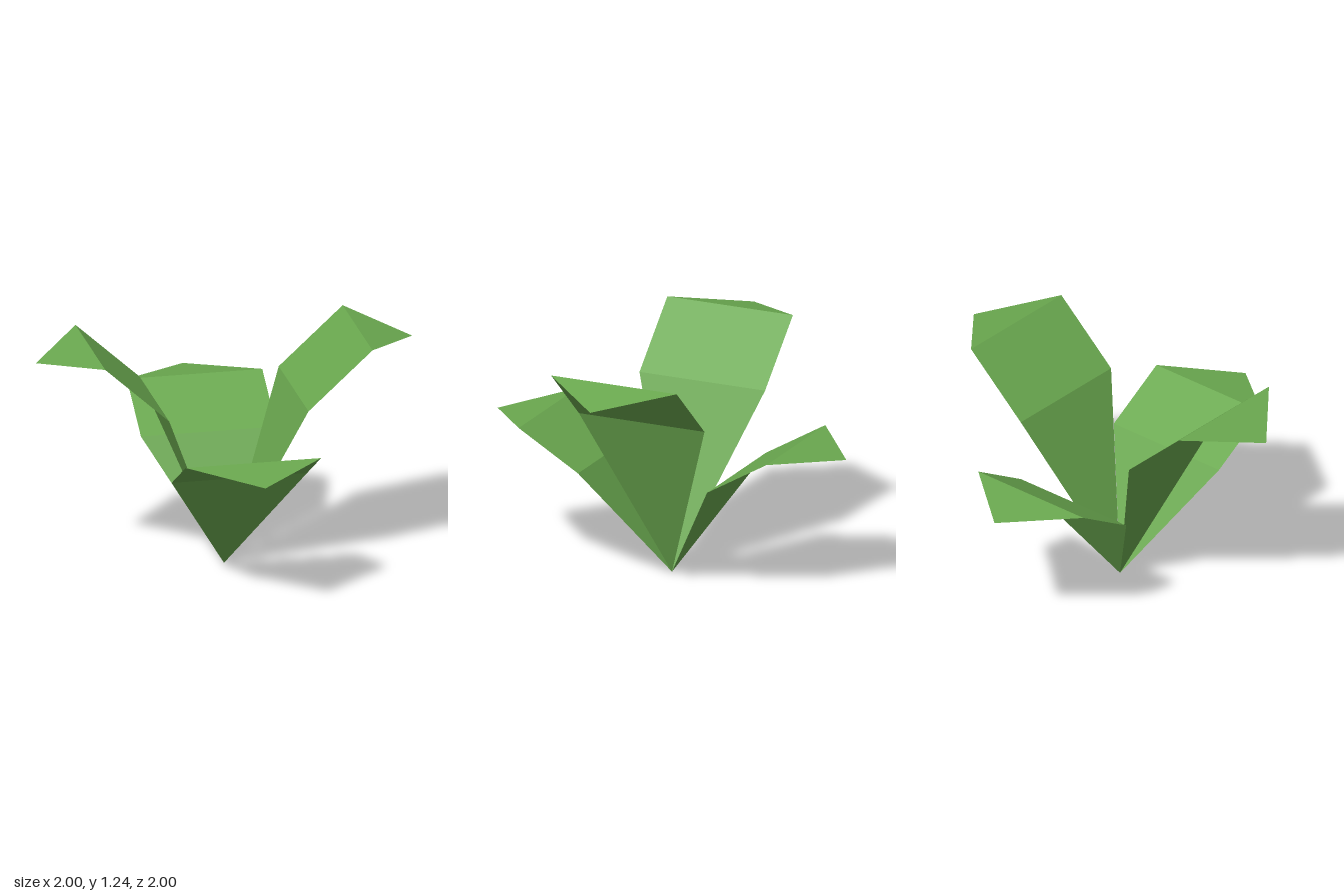
import * as THREE from 'three';

const HALF_WIDTH = 0.36;

// One folded leaf growing from the origin towards +z: stem triangle, blade, drooping tip.
function leafGeometry(foldY, crestY, tipY) {
  const w = HALF_WIDTH;
  const positions = [
    0, 0, 0,
    -w, foldY, 0.37, w, foldY, 0.37,
    -w, crestY, 0.71, w, crestY, 0.71,
    0, tipY, 1,
  ];
  const indexed = new THREE.BufferGeometry();
  indexed.setAttribute('position', new THREE.Float32BufferAttribute(positions, 3));
  indexed.setIndex([0, 1, 2, 1, 3, 4, 1, 4, 2, 3, 5, 4]);
  const geometry = indexed.toNonIndexed();
  geometry.computeVertexNormals();
  return geometry;
}

export function createModel() {
  const plant = new THREE.Group();
  plant.name = 'plant';
  const green = new THREE.MeshStandardMaterial({
    color: 0x6aa84f, flatShading: true, side: THREE.DoubleSide,
  });

  // Low leaves point to the front and back, tall leaves to the sides.
  const low = leafGeometry(0.595, 0.795, 0.755);
  const tall = leafGeometry(0.93, 1.24, 1.175);
  ['frontLeaf', 'leftLeaf', 'backLeaf', 'rightLeaf'].forEach((name, i) => {
    const leaf = new THREE.Mesh(i % 2 ? tall : low, green);
    leaf.name = name;
    leaf.rotation.y = i * Math.PI / 2;
    plant.add(leaf);
  });
  return plant;
}
